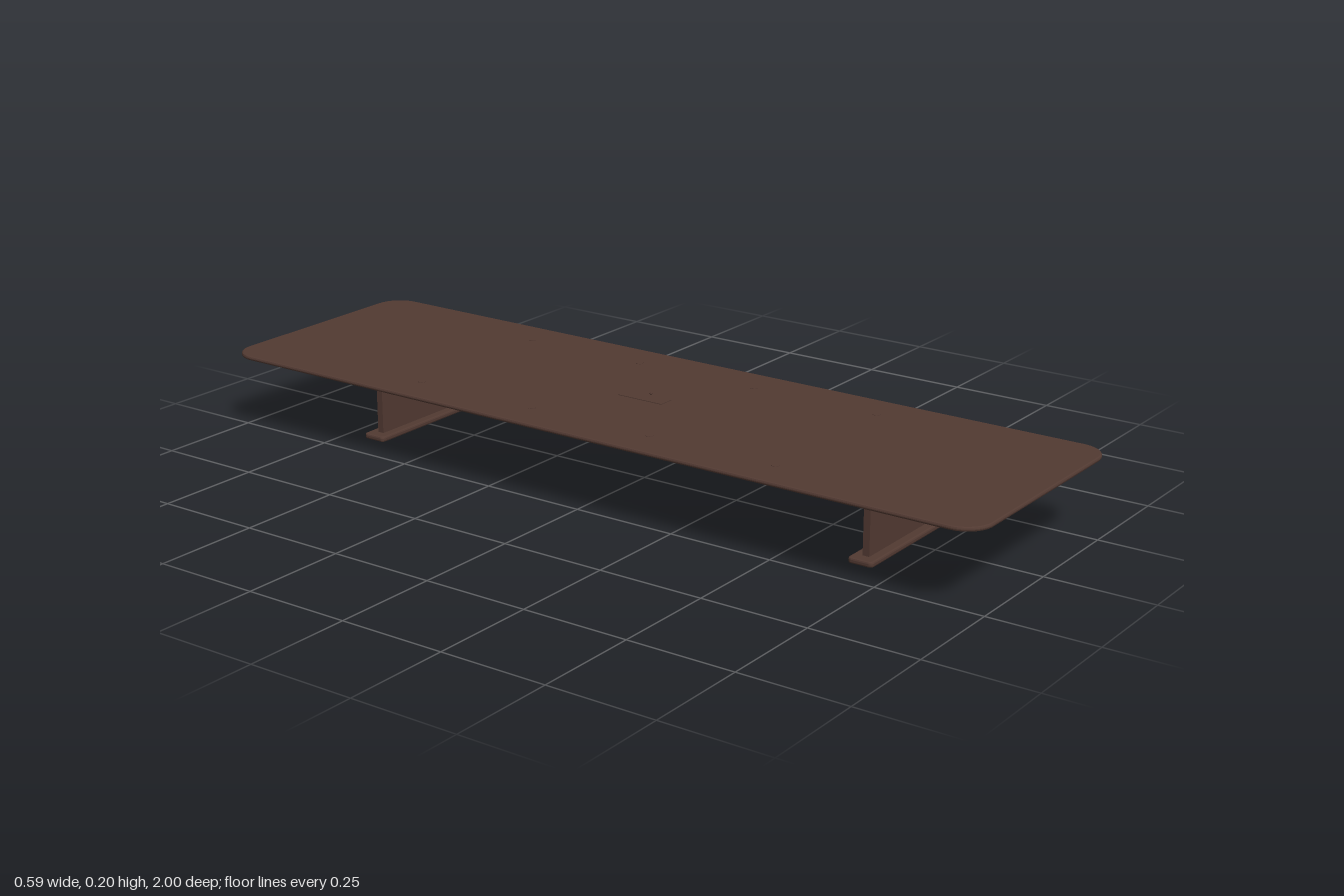
import * as THREE from 'three';

const wood = new THREE.MeshStandardMaterial({ color: 0x523a32 });
wood.name = 'dark walnut';

// Horizontal slab with rounded corners and softened rims, from y0 to y1
function slab(name, width, length, y0, y1, radius, bevel) {
  const x = width / 2 - bevel, z = length / 2 - bevel, r = radius - bevel;
  const s = new THREE.Shape();
  s.absarc(x - r, z - r, r, 0, Math.PI / 2);
  s.absarc(-x + r, z - r, r, Math.PI / 2, Math.PI);
  s.absarc(-x + r, -z + r, r, Math.PI, Math.PI * 1.5);
  s.absarc(x - r, -z + r, r, Math.PI * 1.5, Math.PI * 2);
  s.closePath();
  const geometry = new THREE.ExtrudeGeometry(s, {
    depth: y1 - y0 - 2 * bevel, bevelEnabled: true, bevelSize: bevel,
    bevelThickness: bevel, bevelSegments: 2, curveSegments: 8,
  });
  geometry.rotateX(-Math.PI / 2).translate(0, y0 + bevel, 0);
  return named(name, geometry);
}

function box(name, width, depth, y0, y1) {
  return named(name, new THREE.BoxGeometry(width, y1 - y0, depth).translate(0, (y0 + y1) / 2, 0));
}

function named(name, geometry) {
  const mesh = new THREE.Mesh(geometry, wood);
  mesh.name = name;
  return mesh;
}

export function createModel() {
  const table = new THREE.Group();
  table.name = 'table';

  // Top and the smaller panel below it, parted by a shadow gap
  table.add(slab('tableTop', 0.59, 2, 0.18, 0.19, 0.065, 0.004));
  table.add(slab('underPanel', 0.447, 1.72, 0.165, 0.178, 0.06, 0.004));

  // Two panel legs, each with a foot and a head plate
  for (const side of [1, -1]) {
    const leg = new THREE.Group();
    leg.name = side > 0 ? 'frontLeg' : 'backLeg';
    leg.add(slab('foot', 0.34, 0.06, 0, 0.013, 0.01, 0.004));
    leg.add(box('legPanel', 0.287, 0.016, 0.013, 0.15));
    leg.add(box('headPlate', 0.312, 0.05, 0.15, 0.165));
    leg.position.z = side * 0.667;
    table.add(leg);
  }

  // Cable hatch in the middle with its small knob
  table.add(box('cableHatch', 0.038, 0.12, 0.178, 0.1915));
  const knob = named('hatchKnob', new THREE.SphereGeometry(0.003, 12, 8));
  knob.position.set(0.025, 0.193, 0);
  table.add(knob);

  // Low fixing caps in two rows
  for (const x of [-0.203, 0.203]) {
    for (const z of [-0.48, -0.16, 0.16, 0.48]) {
      const cap = named('fixingCap', new THREE.CylinderGeometry(0.009, 0.009, 0.002, 16));
      cap.position.set(x, 0.1898, z);
      table.add(cap);
    }
  }
  return table;
}
